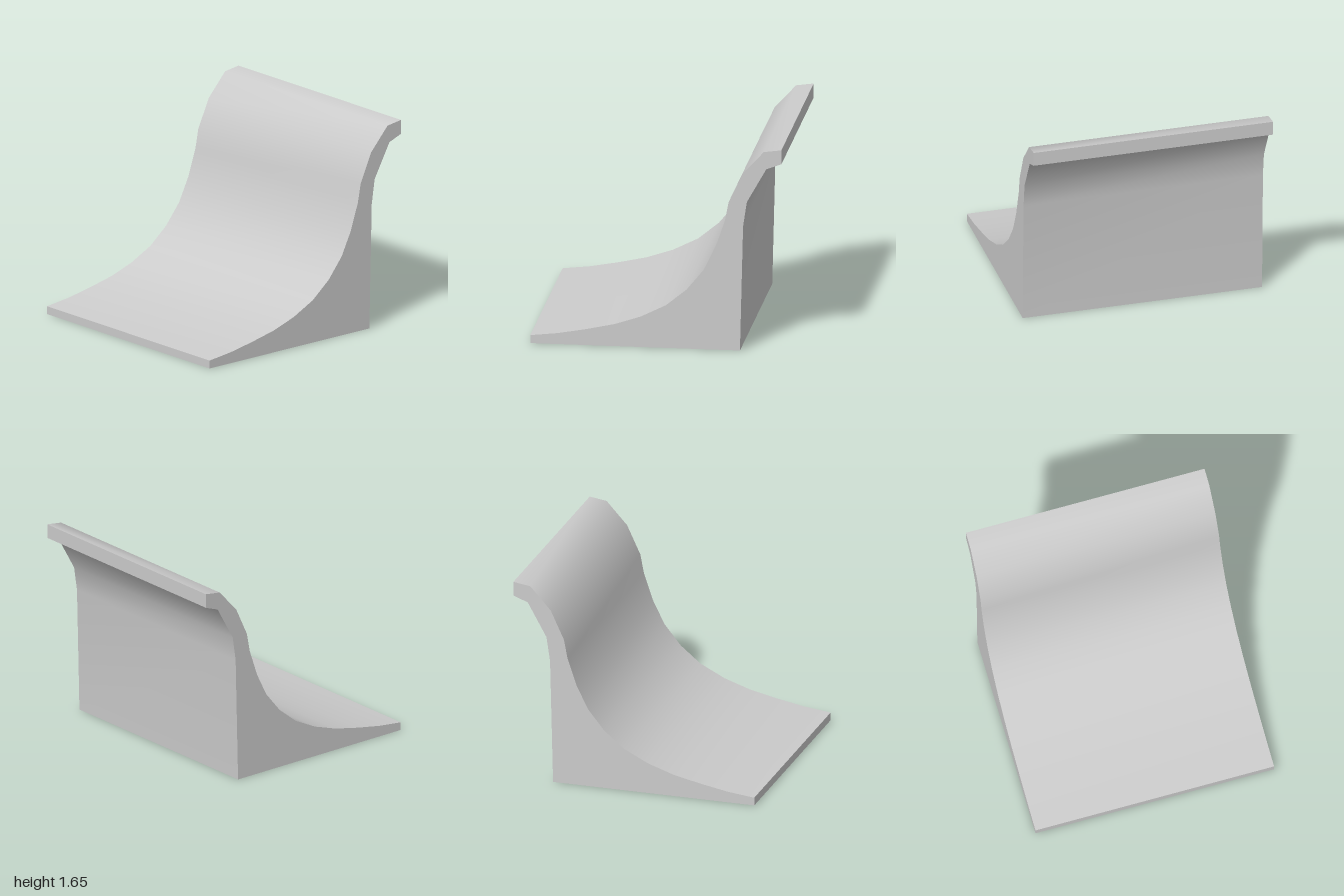
import * as THREE from 'three';
import { toCreasedNormals } from 'three/addons/utils/BufferGeometryUtils.js';

const DEPTH = 1.96;

// Curved upper surface, from the low toe up to the overhanging lip
const rampCurve = [
  [-1, 0.065], [-0.78, 0.09], [-0.56, 0.13], [-0.33, 0.18], [-0.12, 0.25],
  [0.08, 0.35], [0.245, 0.485], [0.38, 0.65], [0.475, 0.84], [0.55, 1.06],
  [0.58, 1.215], [0.69, 1.45], [0.86, 1.635], [1, 1.655],
];

// Underside of the lip, then down the upright wall to the ground
const wallCurve = [
  [1, 1.54], [0.88, 1.495], [0.725, 1.22], [0.695, 1.02], [0.67, 0],
];

export function createModel() {
  const group = new THREE.Group();
  group.name = 'curvedRamp';

  const outline = [[-1, 0], ...rampCurve, ...wallCurve];
  const shape = new THREE.Shape(outline.map(([x, y]) => new THREE.Vector2(x, y)));

  // Extruded side profile, smooth along the curves and sharp at the edges
  const extruded = new THREE.ExtrudeGeometry(shape, { depth: DEPTH, bevelEnabled: false });
  extruded.translate(0, 0, -DEPTH / 2);
  const geometry = toCreasedNormals(extruded, THREE.MathUtils.degToRad(50));

  const ramp = new THREE.Mesh(geometry, new THREE.MeshStandardMaterial({ color: 0xcccccc }));
  ramp.name = 'rampBody';
  group.add(ramp);
  return group;
}
